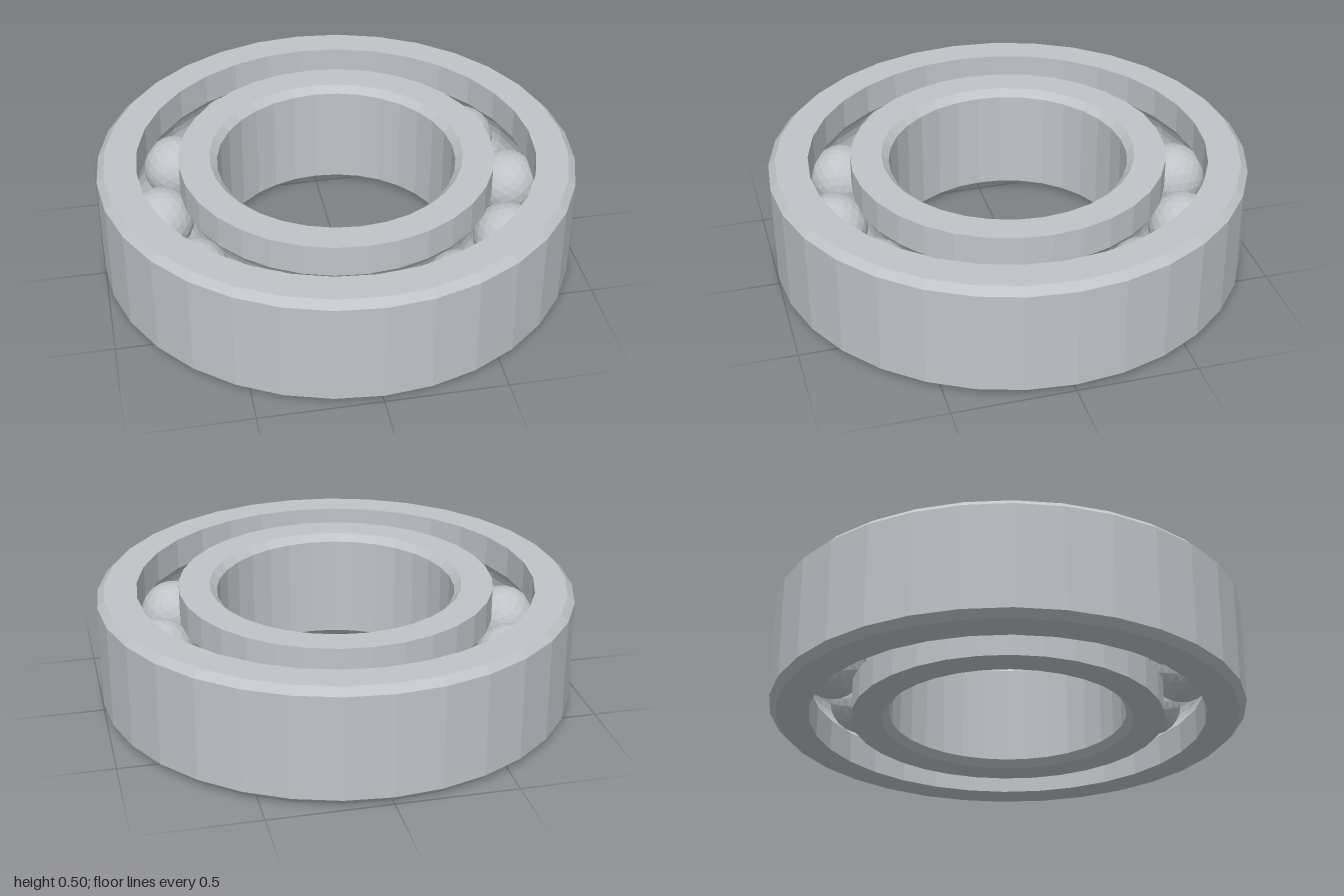
import * as THREE from 'three';

const SEGMENTS = 32;      // sides of each ring
const HEIGHT = 0.5;
const CHAMFER = 0.03;
const PITCH = 0.748;      // radius of the circle of balls
const BALL = 0.139;
const GROOVE = 0.143;

// Race groove at wall radius r, as profile points ordered by rising y
function groove(r) {
  const d = r - PITCH;
  const half = Math.acos(Math.abs(d) / GROOVE);
  const side = Math.sign(d);
  const points = [];
  for (let i = 0; i <= 8; i++) {
    const a = -half + (2 * half * i) / 8;
    points.push([PITCH + side * GROOVE * Math.cos(a), HEIGHT / 2 + GROOVE * Math.sin(a)]);
  }
  return points;
}

// Closed ring from a counter-clockwise (radius, y) profile
function ring(name, profile, material) {
  const points = [...profile, profile[0]].map(([r, y]) => new THREE.Vector2(r, y));
  const geometry = new THREE.LatheGeometry(points, SEGMENTS).toNonIndexed();
  geometry.computeVertexNormals();
  const mesh = new THREE.Mesh(geometry, material);
  mesh.name = name;
  return mesh;
}

export function createModel() {
  const model = new THREE.Group();
  model.name = 'ballBearing';
  const steel = new THREE.MeshStandardMaterial({ color: 0xc0c4c9 });
  steel.name = 'steel';

  // Outer ring: chamfered outside, grooved inside
  const outerWall = 0.835;
  model.add(ring('outerRing', [
    [outerWall, 0], [1 - CHAMFER, 0], [1, CHAMFER],
    [1, HEIGHT - CHAMFER], [1 - CHAMFER, HEIGHT], [outerWall, HEIGHT],
    ...groove(outerWall).reverse(),
  ], steel));

  // Inner ring: grooved outside, chamfered bore
  const innerWall = 0.66, bore = 0.5;
  model.add(ring('innerRing', [
    [bore + CHAMFER, 0], [innerWall, 0],
    ...groove(innerWall),
    [innerWall, HEIGHT], [bore + CHAMFER, HEIGHT],
    [bore, HEIGHT - CHAMFER], [bore, CHAMFER],
  ], steel));

  // Twelve faceted balls
  const balls = new THREE.Group();
  balls.name = 'balls';
  const ballGeometry = new THREE.IcosahedronGeometry(BALL, 3);
  ballGeometry.computeVertexNormals();
  for (let i = 0; i < 12; i++) {
    const a = (i * Math.PI) / 6;
    const ball = new THREE.Mesh(ballGeometry, steel);
    ball.name = 'ball';
    ball.position.set(PITCH * Math.cos(a), HEIGHT / 2, PITCH * Math.sin(a));
    balls.add(ball);
  }
  model.add(balls);
  return model;
}
